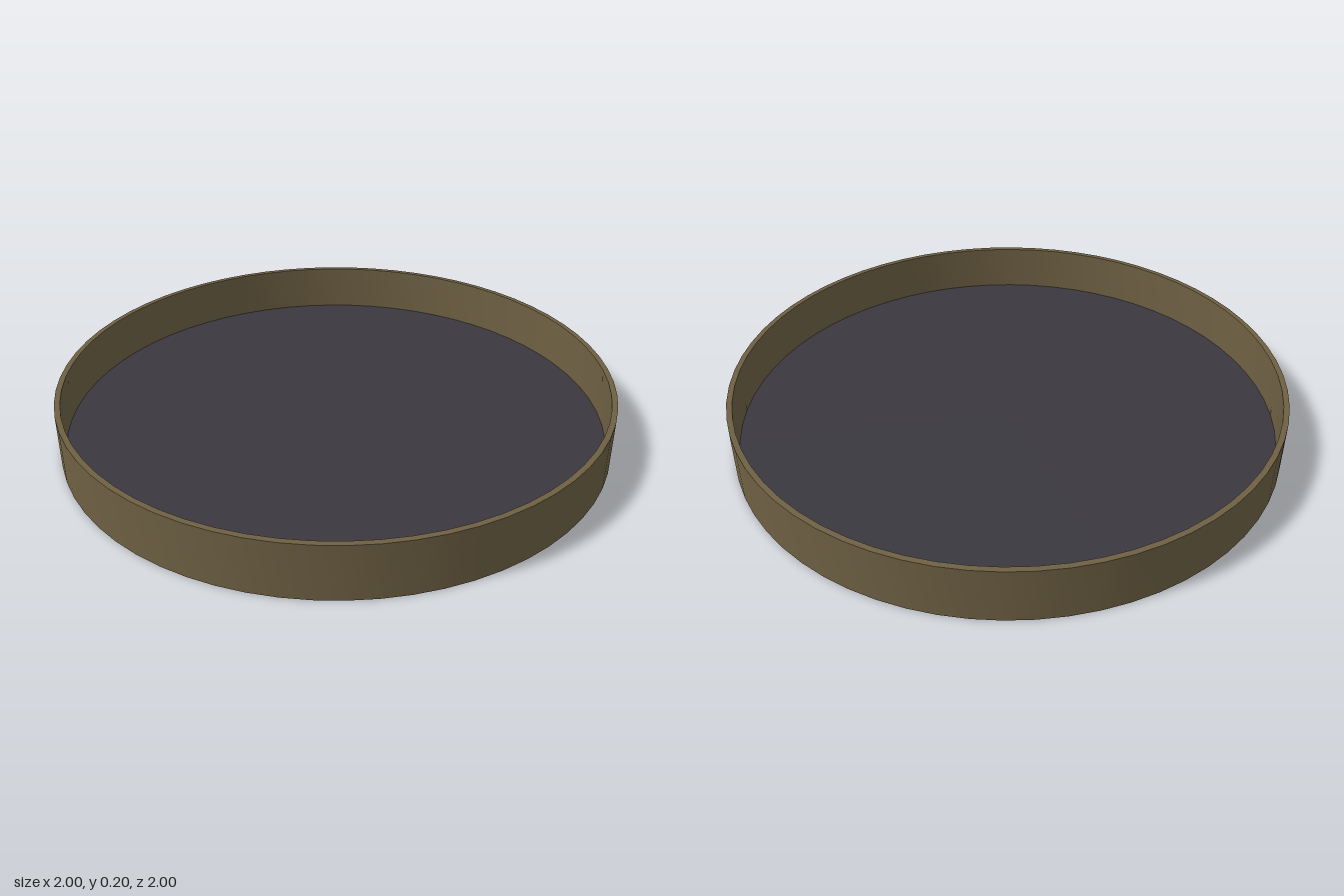
import * as THREE from 'three';
import { toCreasedNormals } from 'three/addons/utils/BufferGeometryUtils.js';

const SEGMENTS = 64;
const RADIUS = 1;
const INNER_RADIUS = 0.98;
const HEIGHT = 0.2;
const FLOOR_Y = 0.022;

export function createModel() {
  const bronze = new THREE.MeshStandardMaterial({ color: 0x6e6043 });
  bronze.name = 'bronze';
  const slate = new THREE.MeshStandardMaterial({ color: 0x3a383f });
  slate.name = 'slate';

  const model = new THREE.Group();
  model.name = 'roundTray';

  // Underside, outer wall, rim and inner wall as one turned profile
  const profile = [
    [0, 0], [RADIUS, 0], [RADIUS, HEIGHT], [INNER_RADIUS, HEIGHT], [INNER_RADIUS, FLOOR_Y],
  ].map(([r, y]) => new THREE.Vector2(r, y));
  const shell = new THREE.Mesh(
    toCreasedNormals(new THREE.LatheGeometry(profile, SEGMENTS), Math.PI / 6), bronze);
  shell.name = 'shell';
  model.add(shell);

  // Dark inlaid floor
  const floor = new THREE.Mesh(
    new THREE.CircleGeometry(INNER_RADIUS, SEGMENTS).rotateX(-Math.PI / 2), slate);
  floor.name = 'floor';
  floor.position.y = FLOOR_Y;
  model.add(floor);

  return model;
}
